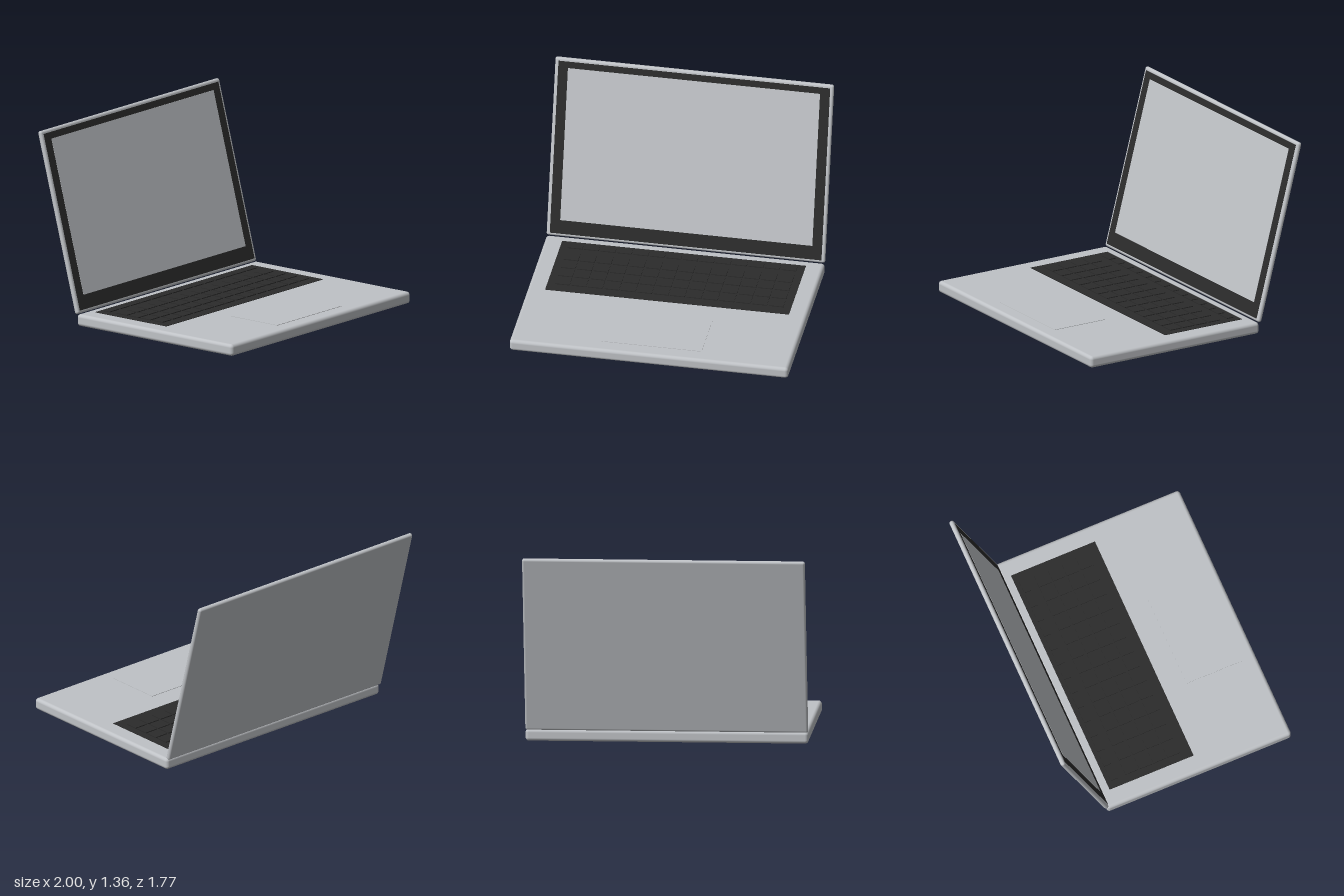
import * as THREE from 'three';
import { RoundedBoxGeometry } from 'three/addons/geometries/RoundedBoxGeometry.js';

export function createModel() {
  const laptop = new THREE.Group();
  laptop.name = 'laptop';

  const silver = new THREE.MeshStandardMaterial({ color: 0xbfc2c6 });
  silver.name = 'silver';
  const black = new THREE.MeshStandardMaterial({ color: 0x2b2b2b });
  black.name = 'black';

  const add = (parent, name, geometry, material, x, y, z) => {
    const mesh = new THREE.Mesh(geometry, material);
    mesh.name = name;
    mesh.position.set(x, y, z);
    parent.add(mesh);
    return mesh;
  };
  const box = (w, h, d) => new THREE.BoxGeometry(w, h, d);

  // Base slab
  const top = 0.085;
  add(laptop, 'base', new RoundedBoxGeometry(2, top, 1.415, 4, 0.024), silver, 0, top / 2, 0.1775);

  // Trackpad, barely proud of the palm rest
  add(laptop, 'trackpad', box(0.72, 0.004, 0.42), silver, 0, top + 0.001, 0.565);

  // Keyboard tray
  const keyboard = new THREE.Group();
  keyboard.name = 'keyboard';
  laptop.add(keyboard);
  add(keyboard, 'keyboardPanel', box(1.75, 0.004, 0.645), black, 0, top + 0.001, -0.1375);

  // Key rows: four full rows and a shallow function row
  const columns = 14, pitch = 0.118;
  const rows = [[0.057, 0.094], [-0.052, 0.094], [-0.159, 0.094], [-0.266, 0.094], [-0.4, 0.053]];
  for (const [z, depth] of rows) {
    const keyGeometry = box(pitch - 0.014, 0.008, depth);
    for (let i = 0; i < columns; i++) {
      add(keyboard, 'key', keyGeometry, black, (i - (columns - 1) / 2) * pitch, top + 0.005, z);
    }
  }

  // Lid, leaning back 15 degrees
  const lid = new THREE.Group();
  lid.name = 'lid';
  lid.position.set(0, 0.7215, -0.7015);
  lid.rotation.x = -THREE.MathUtils.degToRad(15);
  laptop.add(lid);
  const thickness = 0.034;
  add(lid, 'lidShell', new RoundedBoxGeometry(2, 1.321, thickness, 4, 0.0165), silver, 0, 0, 0);
  add(lid, 'bezel', box(1.95, 1.276, 0.004), black, 0, -0.002, thickness / 2);
  add(lid, 'screen', box(1.81, 1.128, 0.004), silver, 0, 0.025, thickness / 2 + 0.0015);

  return laptop;
}
